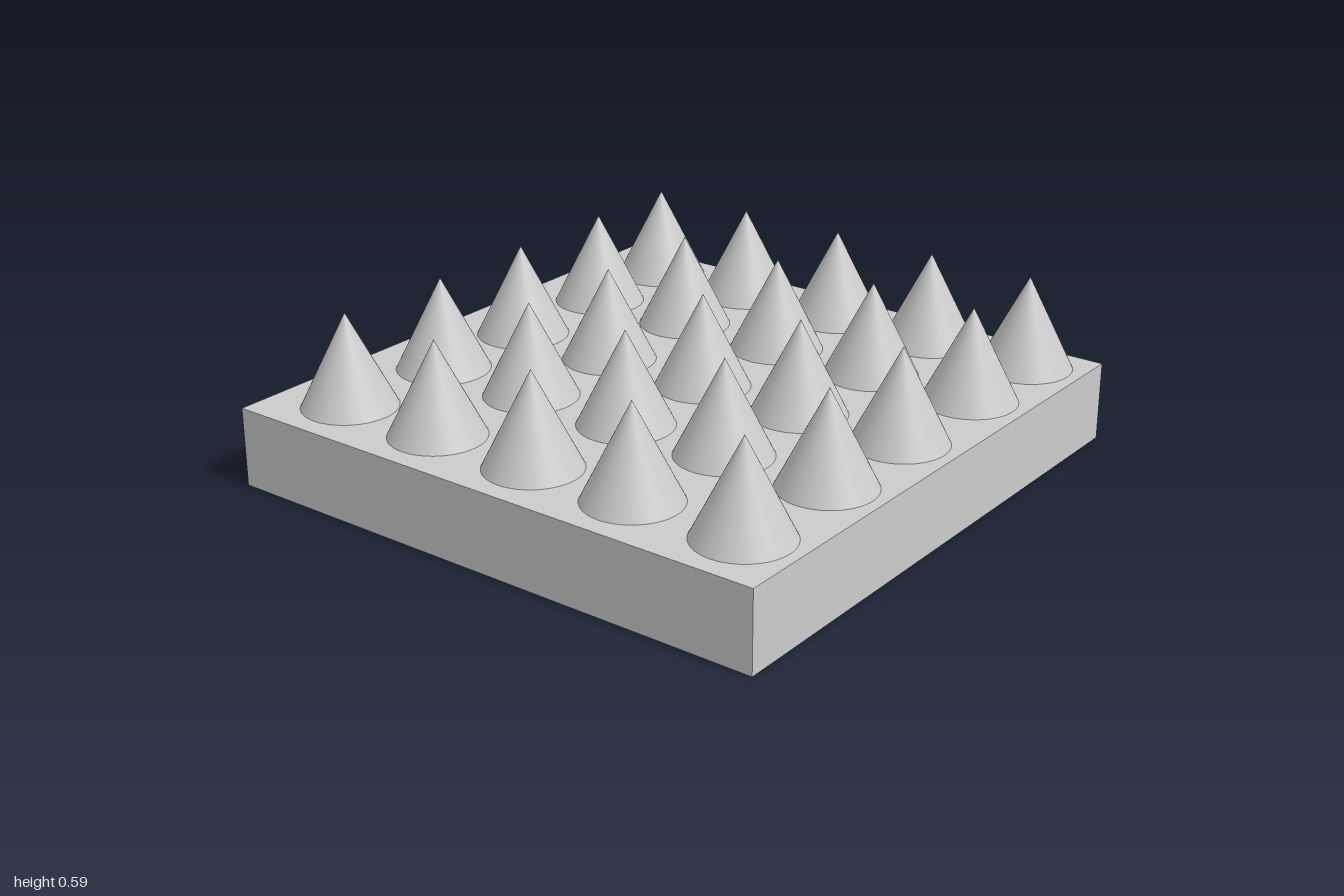
import * as THREE from 'three';

const SLAB_HEIGHT = 0.27;
const SPIKE_HEIGHT = 0.317;
const SPIKE_RADIUS = 0.158;

export function createModel() {
  const group = new THREE.Group();
  group.name = 'spikedSlab';
  const material = new THREE.MeshStandardMaterial({ color: 0xcccccc });

  // Square base slab
  const slab = new THREE.Mesh(new THREE.BoxGeometry(2, SLAB_HEIGHT, 2), material);
  slab.name = 'slab';
  slab.position.y = SLAB_HEIGHT / 2;
  group.add(slab);

  // Unevenly spaced columns of cones; the first column sits slightly further back
  const columns = [-0.775, -0.357, 0.042, 0.46, 0.823];
  const rows = [-0.727, -0.342, 0.05, 0.43, 0.805];
  const firstColumnRows = [-0.742, -0.36, 0.03, 0.41, 0.805];
  const cone = new THREE.ConeGeometry(SPIKE_RADIUS, SPIKE_HEIGHT, 64);

  columns.forEach((x, column) => {
    const depths = column === 0 ? firstColumnRows : rows;
    depths.forEach((z, row) => {
      const spike = new THREE.Mesh(cone, material);
      spike.name = `spike ${column + 1}-${row + 1}`;
      spike.position.set(x, SLAB_HEIGHT + SPIKE_HEIGHT / 2, z);
      group.add(spike);
    });
  });

  return group;
}
